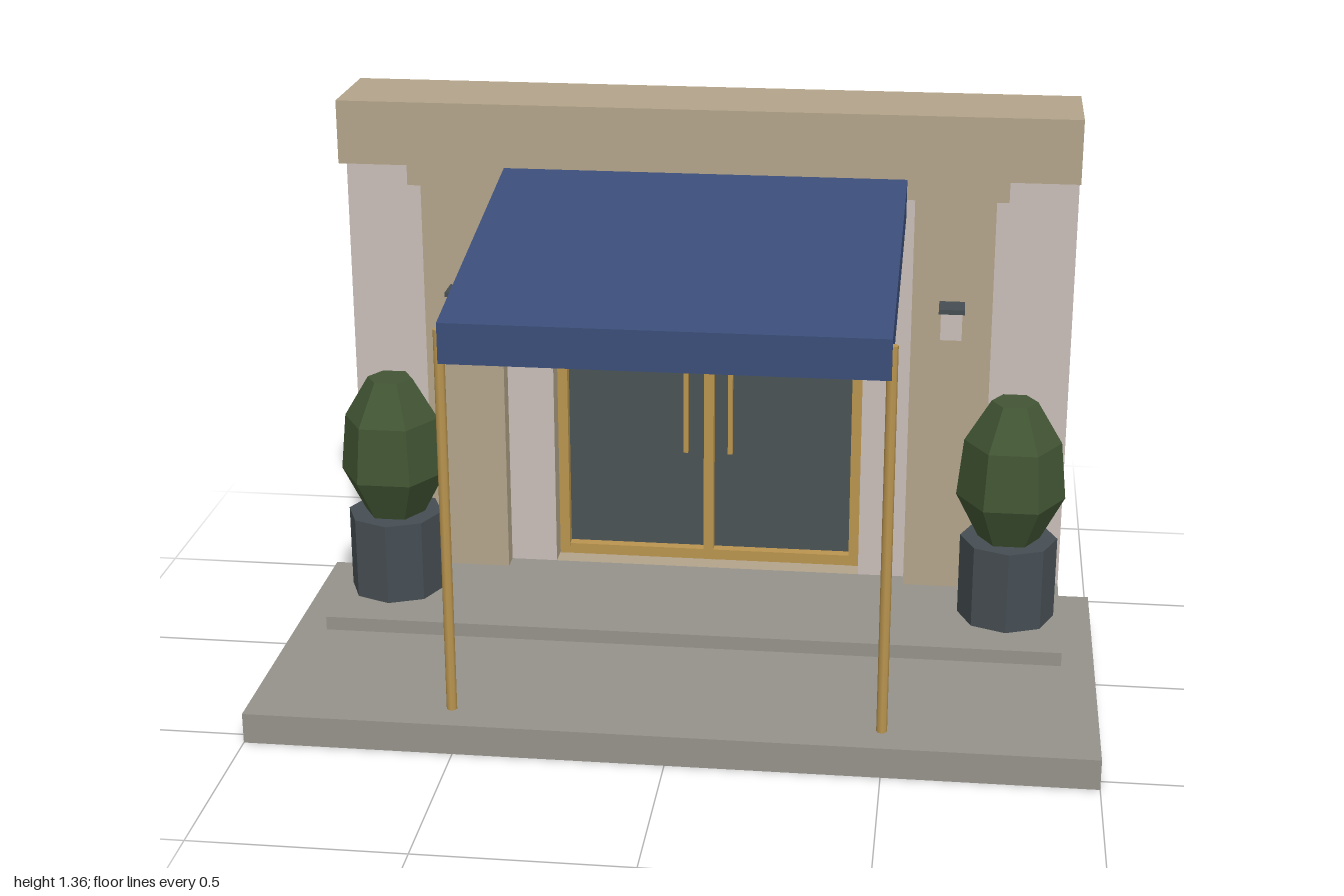
import * as THREE from 'three';

const mat = (name, color, open = true) => {
  const m = new THREE.MeshStandardMaterial({ color });
  m.name = name;
  if (open) m.side = THREE.DoubleSide;
  return m;
};

export function createModel() {
  const model = new THREE.Group();
  model.name = 'shopEntrance';

  const plaster = mat('plaster', 0xcabeb9);
  const sandstone = mat('sandstone', 0xb4a58b);
  const paving = mat('paving', 0x96938b);
  const brass = mat('brass', 0xba954f);
  const glass = mat('glass', 0x4b5355);
  const slate = mat('slate', 0x464e53);
  const canvas = mat('canvas', 0x3b4e79);
  const leaf = mat('leaf', 0x425634);
  leaf.flatShading = true;
  slate.flatShading = true;

  const add = (name, geometry, material, parent = model) => {
    const mesh = new THREE.Mesh(geometry, material);
    mesh.name = name;
    parent.add(mesh);
    return mesh;
  };

  // Box given by its limits; omit lists open sides (0 +x, 1 -x, 2 +y, 3 -y, 4 +z, 5 -z)
  const box = (name, [x0, x1], [y0, y1], [z0, z1], material, parent = model, omit = []) => {
    const g = new THREE.BoxGeometry(x1 - x0, y1 - y0, z1 - z0);
    g.translate((x0 + x1) / 2, (y0 + y1) / 2, (z0 + z1) / 2);
    if (omit.length) {
      g.setIndex(Array.from(g.index.array).filter((_, i) => !omit.includes(Math.floor(i / 6))));
      g.clearGroups();
    }
    return add(name, g, material, parent);
  };

  const rect = (path, x0, x1, y0, y1) =>
    path.moveTo(x0, y0).lineTo(x1, y0).lineTo(x1, y1).lineTo(x0, y1).closePath();

  // Steps, open below and behind
  box('lowerStep', [-1, 1], [0, 0.075], [-0.36, 0.54], paving, model, [3, 5]);
  box('upperStep', [-0.92, 0.92], [0.075, 0.11], [-0.36, 0.06], paving, model, [3, 5]);

  // Facade with a doorway opening and side returns
  const facade = new THREE.Shape();
  rect(facade, -0.92, 0.92, 0.04, 1.36);
  const opening = new THREE.Path();
  rect(opening, -0.4, 0.4, 0.11, 1.08);
  facade.holes.push(opening);
  add('facade', new THREE.ShapeGeometry(facade).translate(0, 0, -0.36), plaster);
  box('sideReturns', [-0.92, 0.92], [0.04, 1.36], [-0.54, -0.36], plaster, model, [2, 3, 4, 5]);

  // Header beam and its top
  box('header', [-0.92, 0.92], [1.2, 1.36], [-0.36, -0.28], sandstone, model, [5]);
  box('wallTop', [-0.92, 0.92], [1.04, 1.36], [-0.54, -0.36], sandstone, model, [0, 1, 3, 4, 5]);

  // Recessed double door
  const door = new THREE.Group();
  door.name = 'doubleDoor';
  model.add(door);
  box('doorReveal', [-0.4, 0.4], [0.11, 1.08], [-0.44, -0.36], sandstone, door, [4, 5]);
  add('doorGlass', new THREE.PlaneGeometry(0.8, 0.97).translate(0, 0.595, -0.44), glass, door);
  const frameZ = [-0.438, -0.41];
  for (const [y0, y1] of [[0.112, 0.14], [0.885, 0.91], [1.052, 1.078]])
    box('doorRail', [-0.398, 0.398], [y0, y1], frameZ, brass, door);
  for (const x of [-0.385, 0, 0.385])
    box('doorStile', [x - 0.013, x + 0.013], [0.112, 1.078], [-0.438, -0.409], brass, door);
  for (const x of [-0.058, 0.058])
    box('doorHandle', [x - 0.006, x + 0.006], [0.42, 0.64], [-0.405, -0.39], brass, door);

  // Sloping awning from its side profile
  const side = new THREE.Shape([
    [0.54, 0.965], [0.54, 1.06], [-0.28, 1.2], [-0.28, 1.103],
  ].map(([z, y]) => new THREE.Vector2(-z, y)));
  const awning = new THREE.ExtrudeGeometry(side, { depth: 1, bevelEnabled: false });
  awning.translate(0, 0, -0.5).rotateY(Math.PI / 2);
  add('awning', awning, canvas);

  // Clipped bush outline, bottom to top
  const bushProfile = [[0, 0.32], [0.077, 0.32], [0.135, 0.43], [0.12, 0.575], [0.057, 0.68], [0, 0.68]]
    .map(([r, y]) => new THREE.Vector2(r, y));

  for (const s of [-1, 1]) {
    const half = new THREE.Group();
    half.name = s > 0 ? 'leftSide' : 'rightSide';
    model.add(half);
    const around = (x, w) => [s * x - w / 2, s * x + w / 2];

    // Awning post
    add('awningPost', new THREE.CylinderGeometry(0.0125, 0.0125, 0.93, 8)
      .translate(s * 0.5, 0.575, 0.521), brass, half);

    // Pilaster and capital
    box('pilaster', around(0.62, 0.2), [0.11, 1.145], [-0.36, -0.31], sandstone, half, [5]);
    box('capital', around(0.62, 0.26), [1.145, 1.2], [-0.36, -0.295], sandstone, half, [5]);

    // Wall lamp
    box('lampPlate', around(0.62, 0.053), [0.803, 0.872], [-0.31, -0.295], slate, half);
    box('lampShade', around(0.62, 0.053), [0.803, 0.872], [-0.295, -0.245], plaster, half);
    box('lampCap', around(0.62, 0.064), [0.872, 0.884], [-0.31, -0.238], slate, half);

    // Planter and bush
    add('planter', new THREE.CylinderGeometry(0.121, 0.121, 0.21, 8)
      .translate(s * 0.783, 0.215, -0.16), slate, half);
    add('bush', new THREE.LatheGeometry(bushProfile, 6).rotateY(Math.PI / 2)
      .translate(s * 0.783, 0, -0.16), leaf, half);
  }

  return model;
}
